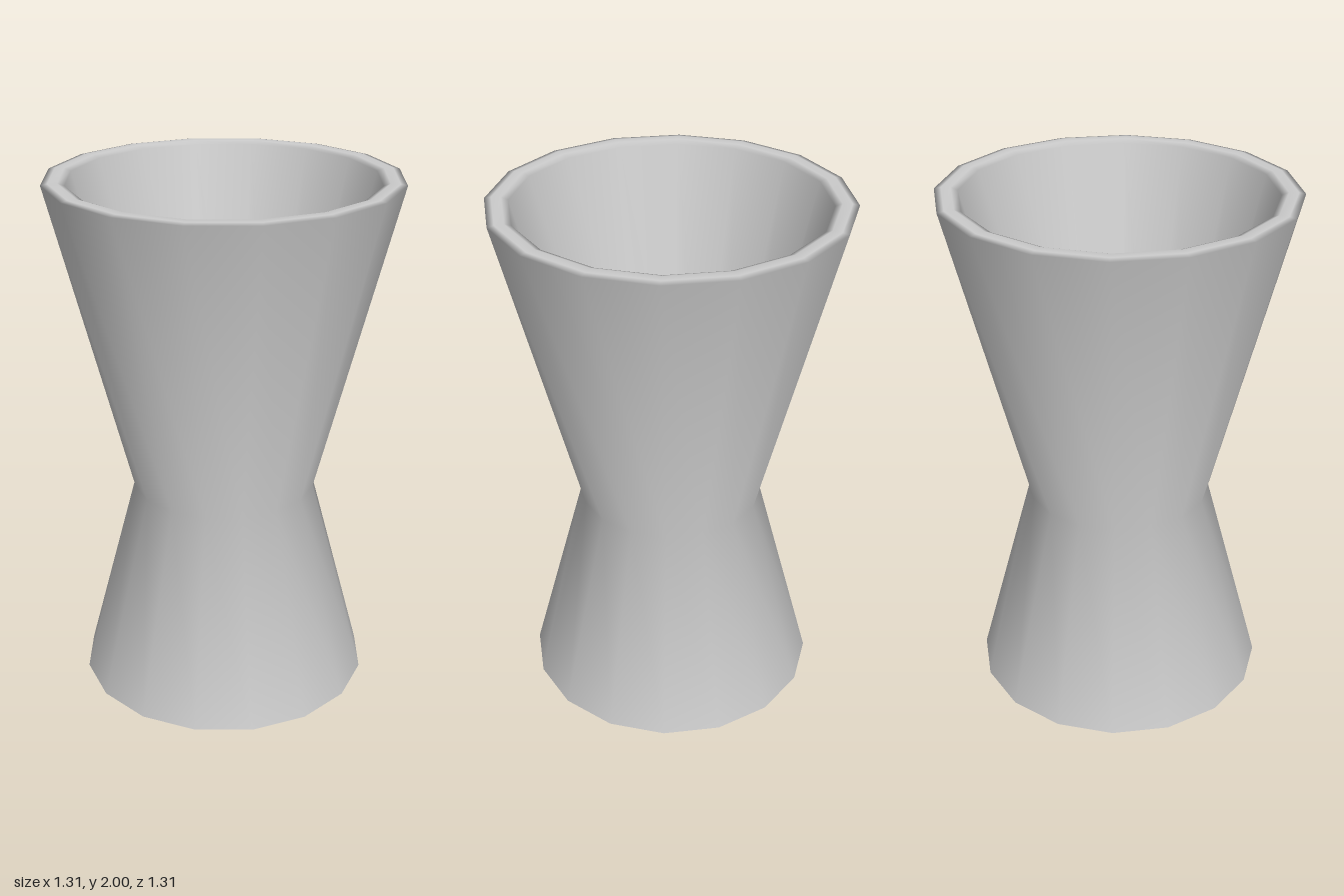
import * as THREE from 'three';

const SIDES = 16;

export function createModel() {
  const group = new THREE.Group();
  group.name = 'doubleCup';
  const material = new THREE.MeshStandardMaterial({ color: 0xcccccc });

  // One closed profile: lower cavity, bottom rim, outer wall, top rim, upper cavity
  const profile = [
    // underside of the partition and lower cavity
    [0, 0.76], [0.25, 0.76], [0.3, 0.72], [0.51, 0.01],
    // bottom rim
    [0.525, 0], [0.545, 0], [0.56, 0.005],
    // outer wall, pinched at the waist
    [0.35, 0.8], [0.655, 1.995],
    // top rim
    [0.63, 2], [0.595, 2], [0.57, 1.99],
    // upper cavity and its floor
    [0.29, 0.88], [0.25, 0.84], [0, 0.84],
  ].map(([r, y]) => new THREE.Vector2(r, y));

  const cup = new THREE.Mesh(new THREE.LatheGeometry(profile, SIDES), material);
  cup.name = 'cupBody';
  group.add(cup);
  return group;
}
